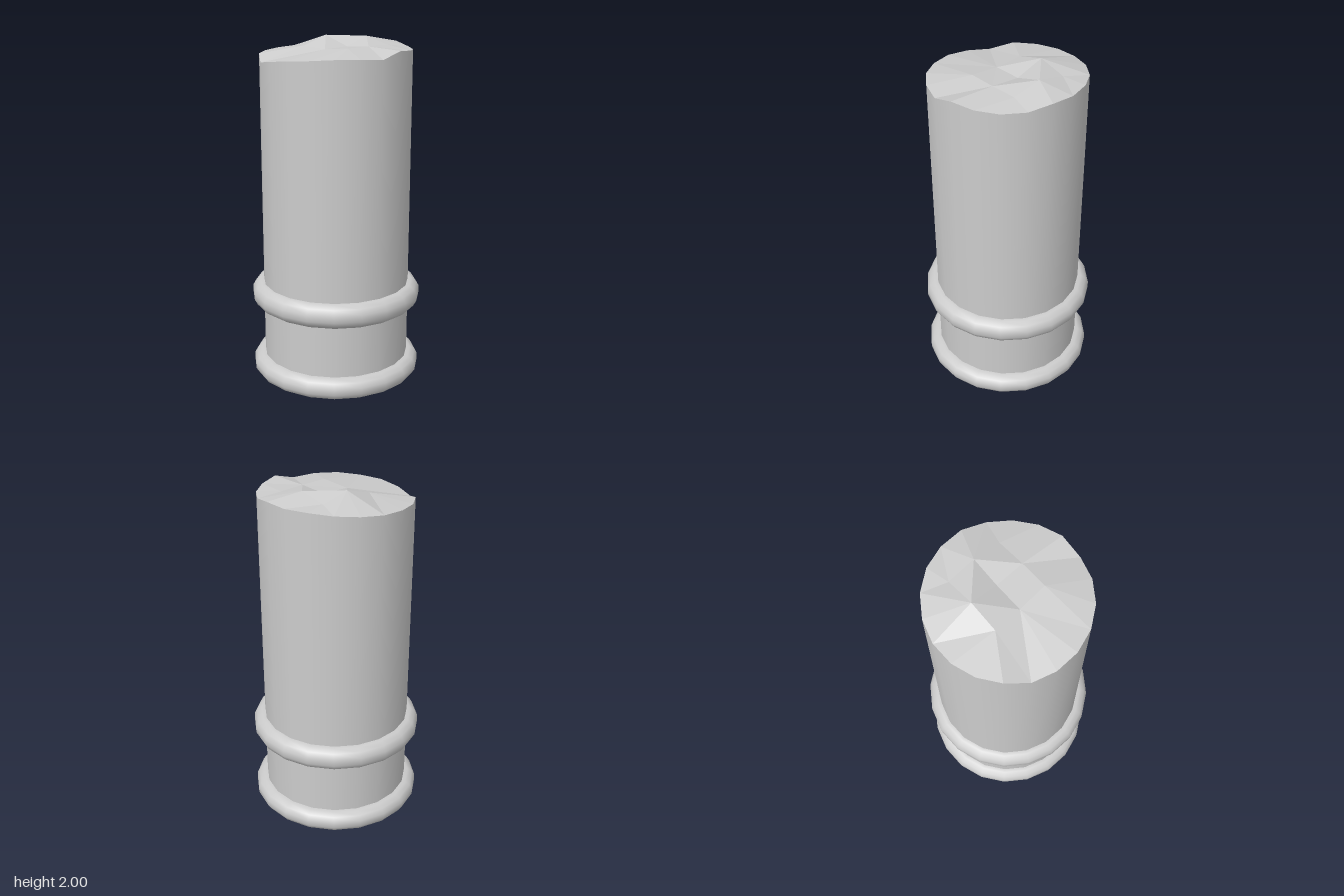
import * as THREE from 'three';

const SIDES = 20, RADIUS = 0.433;

// Broken rim heights, stepping from +x round towards +z
const RIM = [1.94, 1.935, 1.94, 1.95, 1.912, 1.92, 1.92, 1.912, 1.905, 1.89,
  1.875, 1.91, 1.915, 1.92, 1.925, 1.935, 1.945, 1.955, 1.955, 1.96];

// Corners of the chipped 3 x 3 patch, in the same direction, then its middle
const PATCH = [[0.295, 1.955, 0.035], [0.155, 1.955, 0.115], [0.01, 1.955, 0.19],
  [-0.075, 1.94, 0.04], [-0.155, 1.95, -0.105], [-0.005, 2, -0.185],
  [0.148, 1.962, -0.262], [0.22, 1.995, -0.115], [0.078, 1.945, -0.037]];

// Patch corner each rim point fans out from
const FAN = [0, 0, 1, 1, 2, 2, 2, 3, 3, 3, 4, 4, 4, 4, 5, 5, 6, 6, 7, 7];

const material = new THREE.MeshStandardMaterial({ color: 0xcccccc });
const flatMaterial = new THREE.MeshStandardMaterial({ color: 0xcccccc, flatShading: true });

function part(name, geometry, mat = material) {
  const mesh = new THREE.Mesh(geometry, mat);
  mesh.name = name;
  return mesh;
}

// Column wall whose top row follows the broken rim
function shaftGeometry() {
  const g = new THREE.CylinderGeometry(RADIUS, RADIUS, 1, SIDES, 1, true);
  const p = g.attributes.position;
  for (let i = 0; i < p.count; i++) {
    const k = Math.round(Math.atan2(p.getZ(i), p.getX(i)) / (2 * Math.PI) * SIDES);
    p.setY(i, p.getY(i) > 0 ? RIM[(k + SIDES) % SIDES] : 0.03);
  }
  return g;
}

// Rough top: rim stitched to the patch, plus the four patch quads
function brokenTopGeometry() {
  const rim = RIM.map((y, k) => {
    const a = k / SIDES * 2 * Math.PI;
    return [RADIUS * Math.cos(a), y, RADIUS * Math.sin(a)];
  });
  const verts = [];
  const tri = (a, b, c) => verts.push(...a, ...b, ...c);
  for (let k = 0; k < SIDES; k++) {
    const n = (k + 1) % SIDES;
    tri(PATCH[FAN[k]], rim[n], rim[k]);
    if (FAN[n] !== FAN[k]) tri(PATCH[FAN[k]], PATCH[FAN[n]], rim[n]);
  }
  for (let c = 0; c < 8; c += 2) {
    const before = PATCH[(c + 7) % 8], after = PATCH[c + 1];
    tri(PATCH[8], after, before);
    tri(after, PATCH[c], before);
  }
  const g = new THREE.BufferGeometry();
  g.setAttribute('position', new THREE.Float32BufferAttribute(verts, 3));
  g.computeVertexNormals();
  return g;
}

// Rounded band wrapped round the shaft
function ringGeometry(bottom, top) {
  const profile = [[0.425, 0], [0.455, 0], [0.483, 0.14], [0.5, 0.36],
    [0.5, 0.64], [0.483, 0.86], [0.455, 1], [0.425, 1]];
  return new THREE.LatheGeometry(profile.map(([r, t]) =>
    new THREE.Vector2(r, bottom + t * (top - bottom))), SIDES);
}

export function createModel() {
  const model = new THREE.Group();
  model.name = 'brokenColumn';
  const underside = part('underside', new THREE.CircleGeometry(0.455, SIDES));
  underside.rotation.x = Math.PI / 2;
  model.add(
    part('shaft', shaftGeometry()),
    part('brokenTop', brokenTopGeometry(), flatMaterial),
    part('baseRing', ringGeometry(0, 0.125)),
    part('upperRing', ringGeometry(0.435, 0.575)),
    underside
  );
  return model;
}
